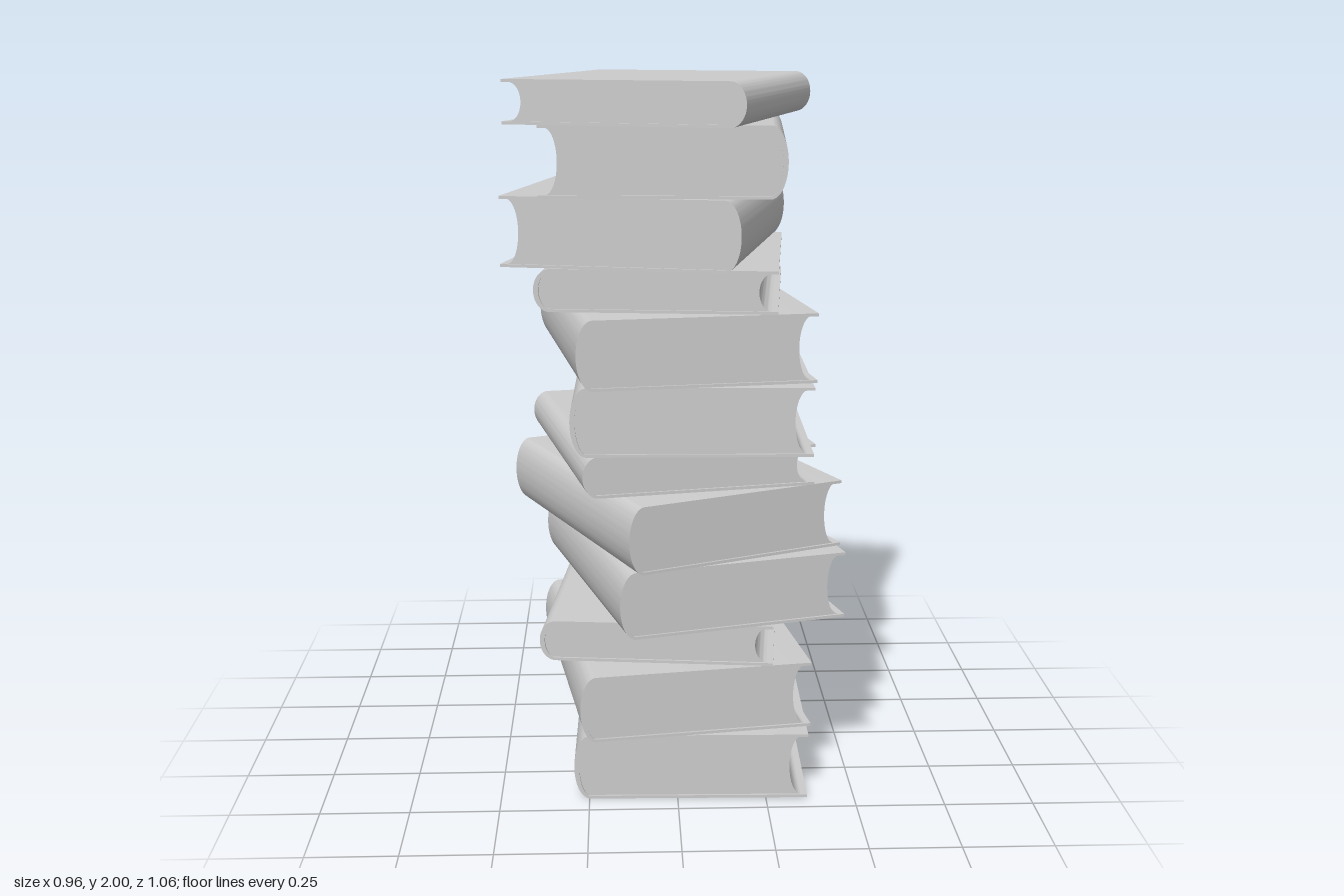
import * as THREE from 'three';
import { toCreasedNormals } from 'three/addons/utils/BufferGeometryUtils.js';

const WIDTH = 0.66, LENGTH = 0.85;      // footprint of every book
const THICK = 0.1915, THIN = 0.117;     // the two book heights
const BOARD = 0.008;                    // cover board thickness
const BULGE = 0.045, SPINE = 0.014;     // spine roundness and thickness

const material = new THREE.MeshStandardMaterial({ color: 0xcccccc });

// Extrude a profile along z, centred, with soft curves and sharp edges
function extrude(shape, depth) {
  const geometry = new THREE.ExtrudeGeometry(shape, { depth, bevelEnabled: false, curveSegments: 20 });
  geometry.translate(0, 0, -depth / 2);
  return toCreasedNormals(geometry, 0.6);
}

// C-shaped case: two boards joined by a rounded spine on the -x side
function coverGeometry(h) {
  const r = WIDTH / 2, s = -r + BULGE;
  const shape = new THREE.Shape();
  shape.moveTo(r, h);
  shape.lineTo(s, h);
  shape.absellipse(s, h / 2, BULGE, h / 2, Math.PI / 2, Math.PI * 1.5, false, 0);
  shape.lineTo(r, 0);
  shape.lineTo(r, BOARD);
  shape.lineTo(s, BOARD);
  shape.absellipse(s, h / 2, BULGE - SPINE, h / 2 - BOARD, Math.PI * 1.5, Math.PI / 2, true, 0);
  shape.lineTo(r, h - BOARD);
  return extrude(shape, LENGTH);
}

// Page block: rounded at the spine, hollowed at the fore edge
function pagesGeometry(h) {
  const edge = WIDTH / 2 - 0.018, s = -WIDTH / 2 + BULGE, half = h / 2 - BOARD;
  const shape = new THREE.Shape();
  shape.moveTo(edge, h - BOARD);
  shape.lineTo(s, h - BOARD);
  shape.absellipse(s, h / 2, BULGE - SPINE, half, Math.PI / 2, Math.PI * 1.5, false, 0);
  shape.lineTo(edge, BOARD);
  shape.absellipse(edge, h / 2, 0.033, half, Math.PI * 1.5, Math.PI / 2, true, 0);
  return extrude(shape, LENGTH - 0.014);
}

// Stack from the bottom up: height, x, z, turn in degrees (+180 puts the spine on +x)
const BOOKS = [
  [THICK, 0.045, 0.01, -1],
  [THICK, -0.01, 0.01, 8.7],
  [THIN, -0.015, -0.055, -6],
  [THICK, 0.045, 0.005, 15.5],
  [THICK, -0.005, 0.005, 24],
  [THIN, -0.02, -0.05, 11.5],
  [THICK, 0.045, 0.01, -1],
  [THICK, -0.01, 0.01, 8.7],
  [THIN, -0.015, -0.055, -6],
  [THICK, -0.06, -0.045, 180 - 13],
  [THICK, -0.005, -0.035, 180 - 4.7],
  [THIN, -0.02, 0.028, 180 - 17.2],
];

export function createModel() {
  const stack = new THREE.Group();
  stack.name = 'bookStack';

  const parts = new Map([THICK, THIN].map(h => [h, { cover: coverGeometry(h), pages: pagesGeometry(h) }]));

  let y = 0;
  BOOKS.forEach(([h, x, z, turn], i) => {
    const book = new THREE.Group();
    book.name = `book${i + 1}`;
    for (const [name, geometry] of Object.entries(parts.get(h))) {
      const mesh = new THREE.Mesh(geometry, material);
      mesh.name = name;
      book.add(mesh);
    }
    book.position.set(x, y, z);
    book.rotation.y = THREE.MathUtils.degToRad(turn);
    stack.add(book);
    y += h;
  });
  return stack;
}
